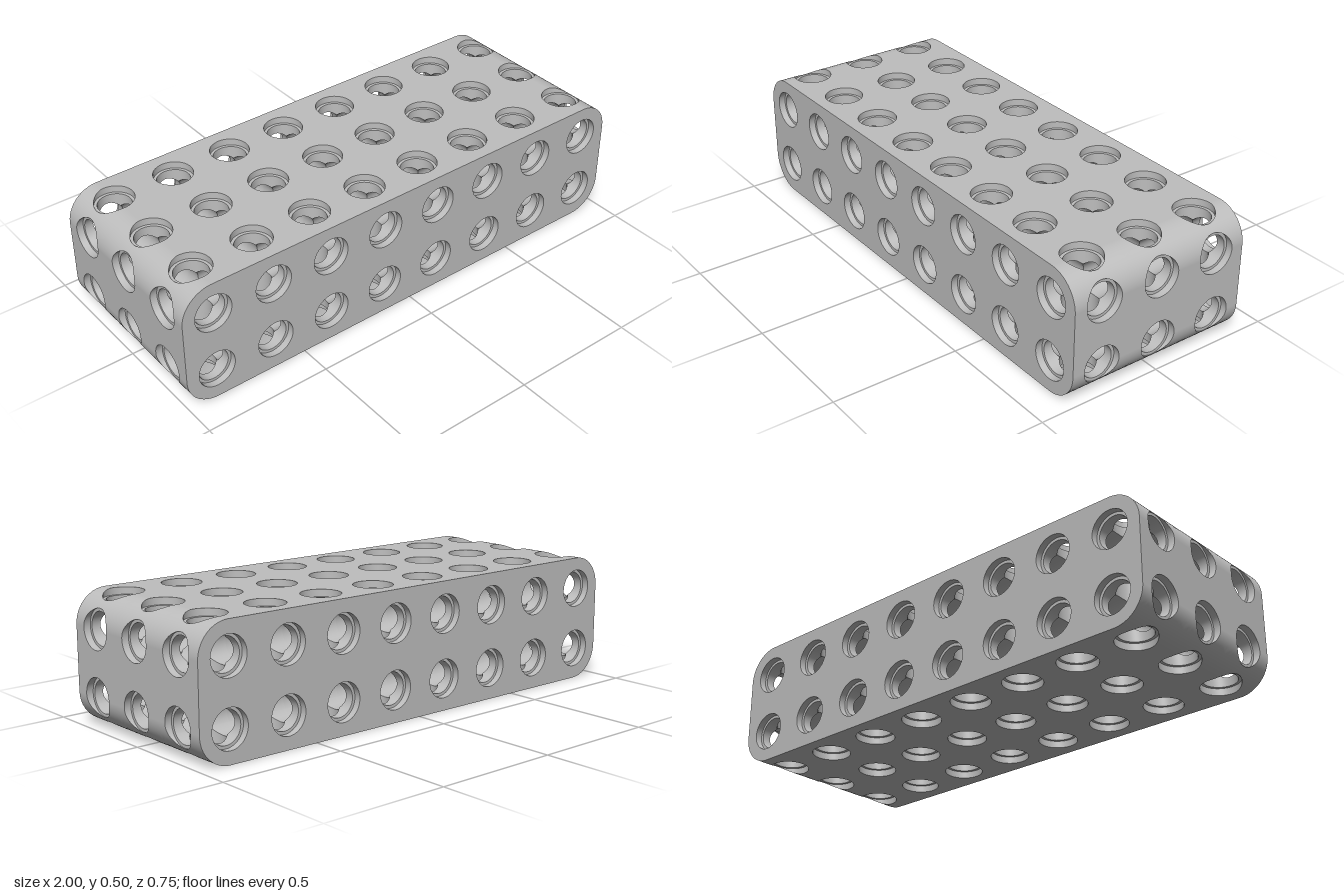
import * as THREE from 'three';
import { mergeGeometries } from 'three/addons/utils/BufferGeometryUtils.js';

const CELL = 0.25, HALF = CELL / 2;   // grid pitch; the corner radius is half of it
const BORE = 0.0635, RIM = 0.075, DEPTH = 0.027;
const COUNTS = [8, 2, 3];             // cells along x, y, z
const LEDGE = HALF - DEPTH;
const SEAM = HALF * Math.SQRT1_2;     // rounded corners are split at 45 degrees

// Shared ring of angles, including the rays to the corners of the skin patches
const seamAngle = Math.atan2(HALF, SEAM);
const ANGLES = Array.from({ length: 48 }, (_, i) => (i / 48) * Math.PI * 2);
ANGLES.push(seamAngle, Math.PI * 2 - seamAngle);
ANGLES.sort((a, b) => a - b);

// Closed strip through rings; each ring is a function angle -> [x, y, z]
function loft(rings) {
  const n = ANGLES.length, pos = [], index = [];
  rings.forEach((ring, k) => {
    ANGLES.forEach((a, j) => {
      pos.push(...ring(a));
      if (k === rings.length - 1) return;
      const p = k * n + j, q = k * n + (j + 1) % n;
      index.push(p, p + n, q + n, p, q + n, q);
    });
  });
  const g = new THREE.BufferGeometry();
  g.setAttribute('position', new THREE.Float32BufferAttribute(pos, 3));
  g.setIndex(index);
  g.computeVertexNormals();
  return g;
}

const circle = (r, height) => (a) => {
  const x = r * Math.cos(a), y = r * Math.sin(a);
  return [x, y, height(x, a)];
};
const flat = () => HALF;
const rounded = (u) => (u <= 0 ? HALF : Math.sqrt(HALF * HALF - u * u));

// Bore arm, starting where it meets the two crossing bores
const boreStart = (x, a) => BORE * Math.max(Math.abs(Math.cos(a)), Math.abs(Math.sin(a)));
const tunnel = (end) => loft([circle(BORE, boreStart), circle(BORE, () => end)]);

// Counterbore: flat ledge and wall up to the surface
const counterbore = (height) => mergeGeometries([
  loft([circle(BORE, () => LEDGE), circle(RIM, () => LEDGE)]),
  loft([circle(RIM, () => LEDGE), circle(RIM, height)]),
]);

// Outer skin of one cell, from the rim out to a rectangle
function skin(height, uMax, steps) {
  const rings = [];
  for (let k = 0; k <= steps; k++) {
    rings.push((a) => {
      const c = Math.cos(a), s = Math.sin(a);
      const edge = Math.min((c > 0 ? uMax : HALF) / Math.max(Math.abs(c), 1e-9),
        HALF / Math.max(Math.abs(s), 1e-9));
      const r = RIM + (edge - RIM) * k / steps;
      return [r * c, r * s, height(r * c)];
    });
  }
  const g = loft(rings), p = g.attributes.position, nrm = g.attributes.normal;
  for (let i = 0; i < p.count; i++) {
    const u = height === rounded ? Math.max(0, p.getX(i)) / HALF : 0;
    nrm.setXYZ(i, u, 0, Math.sqrt(1 - u * u));
  }
  return g;
}

// Flat end plate with rounded corners and a grid of holes
function endPlate() {
  const w = 1 - HALF, s = new THREE.Shape();
  s.absarc(w, 3 * HALF, HALF, 0, Math.PI / 2);
  s.absarc(-w, 3 * HALF, HALF, Math.PI / 2, Math.PI);
  s.absarc(-w, HALF, HALF, Math.PI, Math.PI * 1.5);
  s.absarc(w, HALF, HALF, Math.PI * 1.5, Math.PI * 2);
  for (let i = 0; i < COUNTS[0]; i++) for (let j = 0; j < COUNTS[1]; j++) {
    const hole = new THREE.Path();
    hole.absarc(-w + i * CELL, HALF + j * CELL, RIM, 0, Math.PI * 2, true);
    s.holes.push(hole);
  }
  return new THREE.ShapeGeometry(s, 24);
}

export function createModel() {
  const grey = new THREE.MeshStandardMaterial({ color: 0xbebebe });
  grey.name = 'grey';
  const group = new THREE.Group();
  group.name = 'perforatedBeam';
  const add = (name, geometry) => {
    const mesh = new THREE.Mesh(geometry, grey);
    mesh.name = name;
    group.add(mesh);
    return mesh;
  };

  const innerArm = tunnel(HALF), outerArm = tunnel(LEDGE);
  const flatRim = counterbore(flat), roundRim = counterbore(rounded);
  const flatSkin = skin(flat, HALF, 1), roundSkin = skin(rounded, SEAM, 6);
  const bores = [], rims = [], skins = [];

  // Each cell has six bore arms; those reaching the outside get a rim and skin
  const axisVector = (axis, sign) => new THREE.Vector3().setComponent(axis, sign);
  for (let i = 0; i < COUNTS[0]; i++) for (let j = 0; j < COUNTS[1]; j++) for (let k = 0; k < COUNTS[2]; k++) {
    const cell = [i, j, k];
    const centre = new THREE.Vector3(
      (i - 3.5) * CELL, (j + 0.5) * CELL, (k - 1) * CELL);
    for (let axis = 0; axis < 3; axis++) for (const sign of [-1, 1]) {
      const side = axis === 0 ? 1 : 0;
      const normal = axisVector(axis, sign);
      const u = axisVector(side, cell[side] < COUNTS[side] / 2 ? -1 : 1);
      const v = normal.clone().cross(u);
      const matrix = new THREE.Matrix4().makeBasis(u, v, normal).setPosition(centre);
      const place = (list, g) => list.push(g.clone().applyMatrix4(matrix));

      const open = cell[axis] === (sign > 0 ? COUNTS[axis] - 1 : 0);
      place(bores, open ? outerArm : innerArm);
      if (!open) continue;
      const atCorner = axis !== 2 && (cell[side] === 0 || cell[side] === COUNTS[side] - 1);
      place(rims, atCorner ? roundRim : flatRim);
      if (axis !== 2) place(skins, atCorner ? roundSkin : flatSkin);
    }
  }
  add('bores', mergeGeometries(bores));
  add('counterbores', mergeGeometries(rims));
  add('outerSkin', mergeGeometries(skins));

  // Front and back faces
  const plate = endPlate(), depth = COUNTS[2] * HALF;
  add('frontFace', plate).position.z = depth;
  const back = add('backFace', plate);
  back.rotation.y = Math.PI;
  back.position.z = -depth;
  return group;
}
